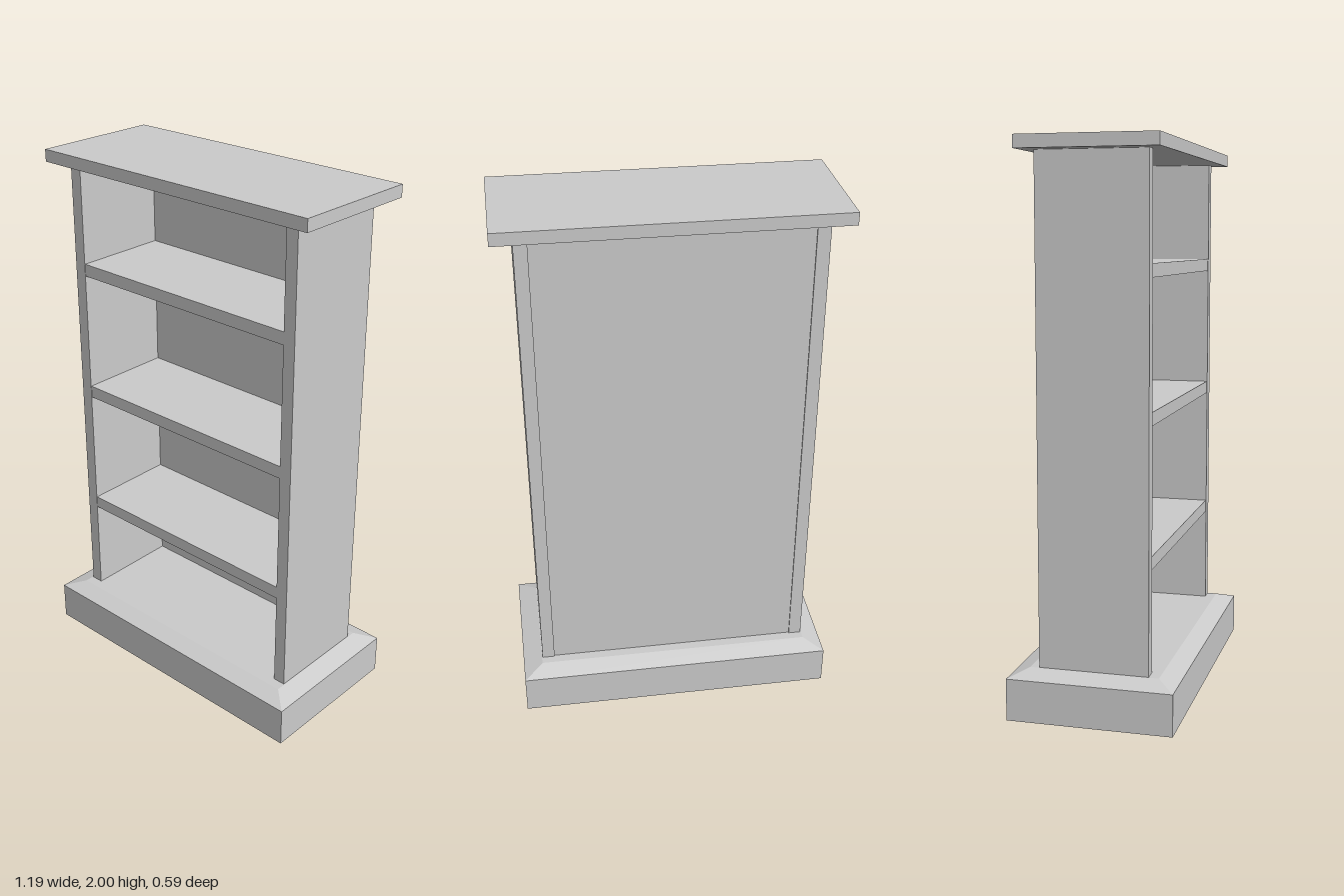
import * as THREE from 'three';

const material = new THREE.MeshStandardMaterial({ color: 0xcccccc, flatShading: true });

export function createModel() {
  const model = new THREE.Group();
  model.name = 'bookcase';

  // Box given by its minimum and maximum corners
  function box(name, [x0, y0, z0], [x1, y1, z1]) {
    const mesh = new THREE.Mesh(new THREE.BoxGeometry(x1 - x0, y1 - y0, z1 - z0), material);
    mesh.name = name;
    mesh.position.set((x0 + x1) / 2, (y0 + y1) / 2, (z0 + z1) / 2);
    model.add(mesh);
    return mesh;
  }

  // Plinth with a shallow sloped upper edge
  box('plinth', [-0.597, 0, -0.297], [0.597, 0.15, 0.297]).geometry.deleteAttribute('uv');
  const slope = box('plinthBevel', [-0.597, 0.15, -0.297], [0.597, 0.175, 0.297]);
  const p = slope.geometry.attributes.position;
  for (let i = 0; i < p.count; i++) {
    if (p.getY(i) > 0) {
      p.setX(i, Math.sign(p.getX(i)) * 0.525);
      p.setZ(i, Math.sign(p.getZ(i)) * 0.232);
    }
  }
  slope.geometry.computeVertexNormals();

  // Side panels
  box('rightSide', [-0.522, 0.175, -0.2], [-0.475, 1.955, 0.195]);
  box('leftSide', [0.475, 0.175, -0.2], [0.522, 1.955, 0.195]);

  // Back panel, set in slightly between the sides
  box('backPanel', [-0.475, 0.175, -0.195], [0.475, 1.955, -0.172]);

  // Shelves
  [0.54, 1.038, 1.536].forEach((y, i) =>
    box('shelf' + (i + 1), [-0.475, y, -0.172], [0.475, y + 0.047, 0.193]));

  // Overhanging top board
  box('topBoard', [-0.597, 1.955, -0.247], [0.597, 2, 0.247]);

  return model;
}
